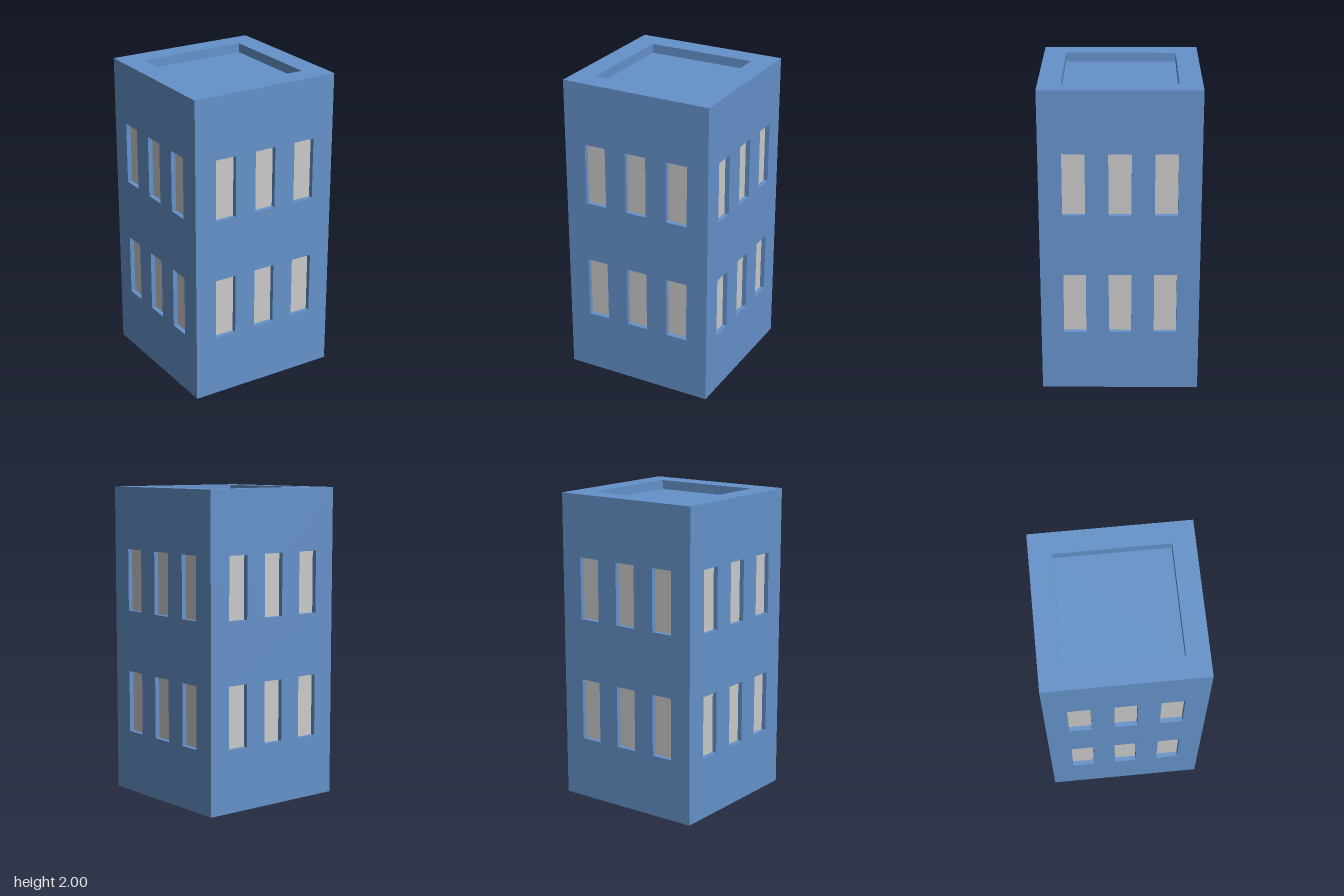
import * as THREE from 'three';

const blue = new THREE.MeshStandardMaterial({ color: 0x6592ca, side: THREE.DoubleSide });
blue.name = 'blue wall';
const grey = new THREE.MeshStandardMaterial({ color: 0xcacaca, side: THREE.DoubleSide });
grey.name = 'grey window';

const W = 1, H = 2;
const UNIT = W / 7; // window width and gap
const WIN_H = 0.4, WIN_DEPTH = 0.03, ROOF_DEPTH = 0.06;

function add(parent, name, geometry, material, x = 0, y = 0, z = 0) {
  const mesh = new THREE.Mesh(geometry, material);
  mesh.name = name;
  mesh.position.set(x, y, z);
  parent.add(mesh);
  return mesh;
}

// Flat sheet with rectangular holes [centreX, centreY, width, height]
function sheet(w, h, holes) {
  const rect = (target, x, y, rw, rh) => target
    .moveTo(x - rw / 2, y - rh / 2).lineTo(x + rw / 2, y - rh / 2)
    .lineTo(x + rw / 2, y + rh / 2).lineTo(x - rw / 2, y + rh / 2).closePath();
  const shape = rect(new THREE.Shape(), 0, 0, w, h);
  for (const hole of holes) shape.holes.push(rect(new THREE.Path(), ...hole));
  return new THREE.ShapeGeometry(shape);
}

// Recess behind z = 0: the four sides of a box, closed by a back panel
function recess(name, w, h, depth, panelMaterial) {
  const group = new THREE.Group();
  group.name = name;
  const sides = new THREE.BoxGeometry(w, h, depth);
  sides.setIndex(Array.from(sides.index.array.slice(0, 24)));
  sides.clearGroups();
  add(group, name + 'Reveal', sides, blue, 0, 0, -depth / 2);
  add(group, name + 'Panel', new THREE.PlaneGeometry(w, h), panelMaterial, 0, 0, -depth);
  return group;
}

export function createModel() {
  const model = new THREE.Group();
  model.name = 'building';

  // Window centres, relative to the middle of a wall
  const windows = [];
  for (const y of [-0.4, 0.4])
    for (const i of [-1, 0, 1]) windows.push([i * 2 * UNIT, y, UNIT, WIN_H]);

  // Four identical walls around an open-bottomed shell
  ['front', 'left', 'back', 'right'].forEach((side, k) => {
    const turn = new THREE.Group();
    turn.name = side + 'Side';
    turn.rotation.y = k * Math.PI / 2;
    add(turn, side + 'Wall', sheet(W, H, windows), blue, 0, H / 2, W / 2);
    for (const [x, y, w, h] of windows) {
      const win = recess('window', w, h, WIN_DEPTH, grey);
      win.position.set(x, H / 2 + y, W / 2);
      turn.add(win);
    }
    model.add(turn);
  });

  // Roof rim with a sunken deck
  const roof = new THREE.Group();
  roof.name = 'roof';
  roof.rotation.x = -Math.PI / 2;
  roof.position.y = H;
  add(roof, 'roofRim', sheet(W, W, [[0, 0, 5 * UNIT, 5 * UNIT]]), blue);
  roof.add(recess('roofDeck', 5 * UNIT, 5 * UNIT, ROOF_DEPTH, blue));
  model.add(roof);

  return model;
}
